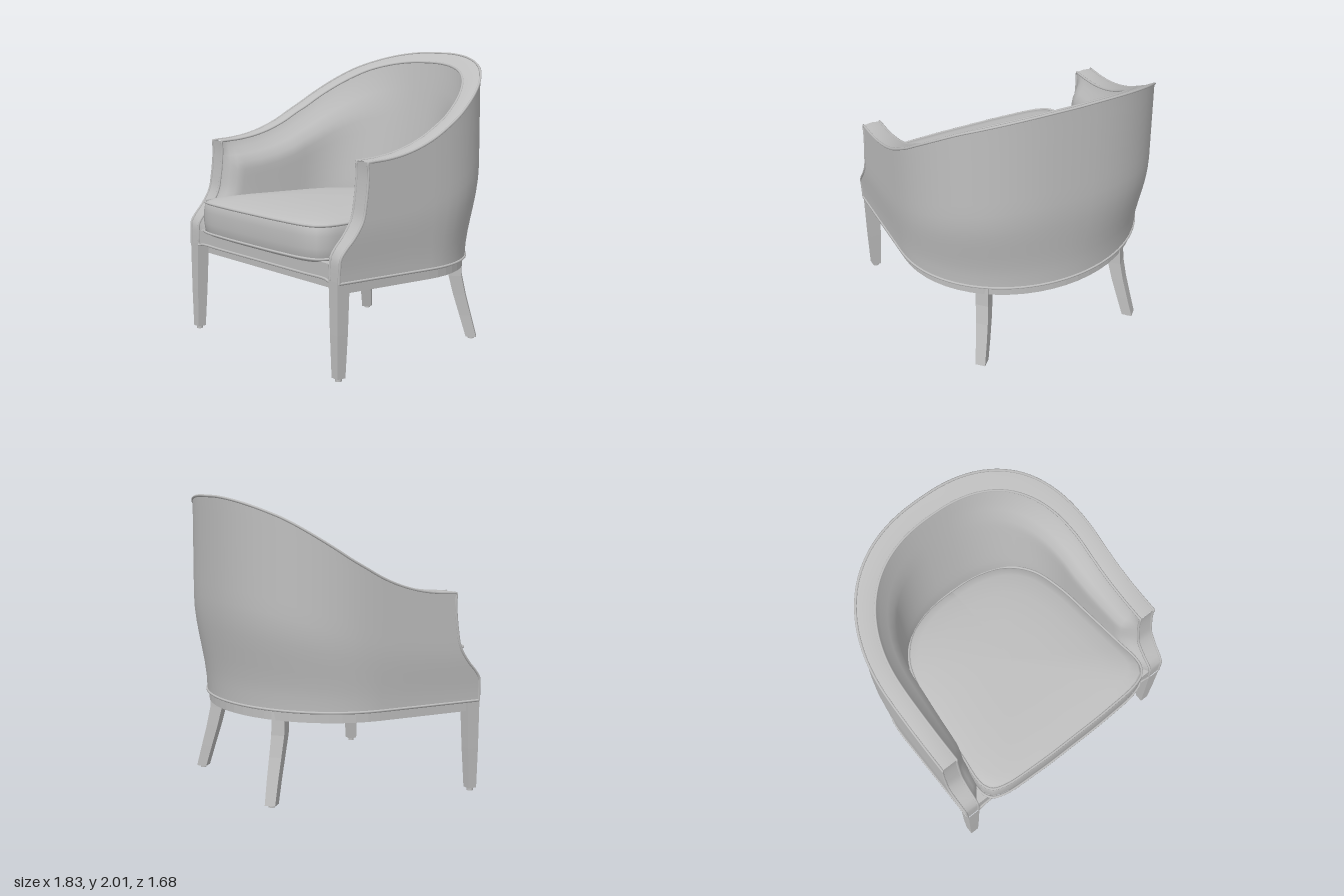
import * as THREE from 'three';

const SEAT_Y = 0.63;   // underside of the upholstered shell
const ARC = 28;        // segments round the back
const STRAIGHT = [0, 0.04, 0.09, 0.16, 0.26, 0.5, 0.75]; // stations along each arm
const ROWS = 14;

// Arm-front profile (height, z) and top-edge height by depth (z, height)
const FRONT = [[0.63, 0.76], [0.78, 0.755], [0.82, 0.735], [0.92, 0.64], [1.02, 0.58], [1.18, 0.555], [1.3, 0.545], [1.38, 0.55]];
const TOP = [[-0.83, 2.0], [-0.6, 1.87], [-0.4, 1.735], [-0.2, 1.6], [0, 1.49], [0.2, 1.41], [0.4, 1.38], [0.57, 1.37]];

function lookup(table, t) {
  if (t <= table[0][0]) return table[0][1];
  for (let i = 1; i < table.length; i++) {
    const [a, va] = table[i - 1], [b, vb] = table[i];
    if (t <= b) return va + (vb - va) * (t - a) / (b - a);
  }
  return table[table.length - 1][1];
}
const ease = (t) => THREE.MathUtils.smoothstep(t, 0, 1);

// Point on the rounded back of a U-shaped plan
function backPoint(a, b, n, angle) {
  const c = Math.cos(angle), s = Math.max(0, Math.sin(angle));
  return [Math.sign(c) * a * Math.abs(c) ** (2 / n), -b * s ** (2 / n)];
}

// Surface through equal-length rows of points
function grid(rows, flat = false) {
  const w = rows[0].length, index = [];
  for (let j = 0; j < rows.length - 1; j++) {
    for (let i = 0; i < w - 1; i++) {
      const p = j * w + i;
      index.push(p, p + 1, p + w, p + 1, p + w + 1, p + w);
    }
  }
  let g = new THREE.BufferGeometry().setFromPoints(rows.flat());
  g.setIndex(index);
  if (flat) g = g.toNonIndexed();
  g.computeVertexNormals();
  return g;
}

// Outer (or padded inner) shell point at station i and height fraction v
function shellPoint(i, v, inner) {
  const m = STRAIGHT.length, last = 2 * m + ARC;
  const side = i < m ? 1 : i > m + ARC ? -1 : 0;
  const s = side === 0 ? 1 : STRAIGHT[side > 0 ? i : last - i];
  const size = (f) => {
    if (inner) {
      const pad = ease(Math.min(1, (1 - f) / 0.25)), lean = Math.min(1, (1 - f) / 0.7);
      const q = ease(Math.min(1, s / 0.2));
      return [0.79 - pad * (0.085 * q + 0.045 * s), 0.72 - 0.16 * lean, 2.35];
    }
    const e = ease(Math.min(1, f / 0.5));
    return [0.885 + 0.023 * e, 0.77 + 0.063 * e, 2 + 0.35 * e];
  };
  const at = (f, y) => {
    const [a, b, n] = size(f);
    if (side) return [side * a, lookup(FRONT, y) * (1 - s)];
    return backPoint(a, b, n, Math.PI * (i - m) / ARC);
  };
  const topY = lookup(TOP, at(1, 1.38)[1]);
  const y = SEAT_Y + (topY - SEAT_Y) * v;
  const [x, z] = at(v, y);
  return new THREE.Vector3(x, y, z);
}

// Solid plate from a plan outline, hanging down from the given top height
function plate(points, top, depth, hole) {
  const shape = new THREE.Shape(points);
  if (hole) shape.holes.push(new THREE.Path(hole));
  return new THREE.ExtrudeGeometry(shape, { depth, bevelEnabled: false, curveSegments: 1 })
    .rotateX(Math.PI / 2).translate(0, top, 0);
}
function planU(a, b, n, front) {
  const pts = [new THREE.Vector2(a, front)];
  for (let k = 0; k <= ARC; k++) pts.push(new THREE.Vector2(...backPoint(a, b, n, Math.PI * k / ARC)));
  pts.push(new THREE.Vector2(-a, front));
  return pts;
}

// Square tapered leg through [x, y, z, half width] sections, bottom to top
function leg(sections, turn) {
  return grid(sections.map(([x, y, z, h]) => Array.from({ length: 5 }, (_, k) => {
    const t = turn + Math.PI / 4 + k * Math.PI / 2;
    return new THREE.Vector3(x + Math.cos(t) * h * Math.SQRT2, y, z - Math.sin(t) * h * Math.SQRT2);
  })), true);
}

export function createModel() {
  const chair = new THREE.Group();
  chair.name = 'armchair';
  const grey = new THREE.MeshStandardMaterial({ color: 0xbfbfbf });
  grey.name = 'grey';
  const add = (name, geometry) => {
    const mesh = new THREE.Mesh(geometry, grey);
    mesh.name = name;
    chair.add(mesh);
    return mesh;
  };
  const piping = (name, pts, closed = false, r = 0.009) =>
    add(name, new THREE.TubeGeometry(new THREE.CatmullRomCurve3(pts, closed), 260, r, 6, closed));

  // Wraparound shell: outside, padded inside, top rim and arm fronts
  const last = 2 * STRAIGHT.length + ARC;
  const wall = (inner) => Array.from({ length: ROWS + 1 }, (_, j) =>
    Array.from({ length: last + 1 }, (_, i) => shellPoint(i, j / ROWS, inner)));
  const outer = wall(false), inner = wall(true);
  const outTop = outer[ROWS], inTop = inner[ROWS];
  const crown = outTop.map((p, i) => p.clone().lerp(inTop[i], 0.5).add(new THREE.Vector3(0, 0.008, 0)));
  add('outerShell', grid(outer));
  add('innerPadding', grid([...inner].reverse()));
  add('topRim', grid([outTop, crown, inTop]));
  add('leftArmFront', grid(outer.map((row, j) => [inner[j][0], row[0]])));
  add('rightArmFront', grid(outer.map((row, j) => [row[last], inner[j][last]])));

  // Piping along the shell edges
  const edge = (rows) => [...rows.map((r) => r[0]), ...rows[ROWS].slice(1, last),
    ...[...rows].reverse().map((r) => r[last])];
  piping('outerPiping', edge(outer));
  const across = [-0.74, -0.5, 0, 0.5, 0.74].map((x) => new THREE.Vector3(x, 0.64, 0.755));
  piping('innerPiping', [...edge(inner), ...across], true);
  piping('bottomPiping', outer[0]);

  // Seat deck with front rail, hollow skirt and underside panel
  add('seatDeck', plate(planU(0.8, 0.69, 2, 0.75), 0.74, 0.11));
  add('skirt', plate(planU(0.865, 0.757, 2, 0.67), 0.64, 0.08, planU(0.81, 0.70, 2, 0.63)));
  add('undersidePanel', plate(planU(0.83, 0.72, 2, 0.65), 0.63, 0.02));

  // Seat cushion: rings of a rounded outline, seam at the back
  const half = [[-0.22, -0.545], [-0.42, -0.47], [-0.56, -0.32], [-0.63, -0.1], [-0.665, 0.2],
    [-0.695, 0.5], [-0.71, 0.66], [-0.685, 0.755], [-0.6, 0.8], [-0.3, 0.825]];
  const mirror = half.map(([x, z]) => [-x, z]).reverse();
  const outline = new THREE.CatmullRomCurve3([[0, -0.56], ...half, [0, 0.828], ...mirror]
    .map(([x, z]) => new THREE.Vector3(x, 0, z)), true).getSpacedPoints(72);
  const ring = (k, y) => outline.map((p) =>
    new THREE.Vector3(p.x * k, y, 0.13 + (p.z - 0.13) * k));
  const profile = [[0, 0.72], [0.92, 0.72], [0.98, 0.735], [1, 0.76], [1.01, 0.82], [1.01, 0.9],
    [1, 0.95], [0.98, 0.97], [0.9, 0.99], [0.7, 1.015], [0.4, 1.03], [0, 1.035]];
  add('seatCushion', grid(profile.map(([k, y]) => ring(k, y))));
  for (const [name, k, y] of [['cushionTopPiping', 1, 0.965], ['cushionBottomPiping', 1.01, 0.755]])
    piping(name, ring(k, y).slice(0, -1), true);

  // Straight front legs, splayed back legs and their foot pads
  for (const [side, s] of [['left', 1], ['right', -1]]) {
    add(side + 'FrontLeg', leg([[s * 0.84, 0.02, 0.73, 0], [s * 0.84, 0.02, 0.73, 0.031],
      [s * 0.838, 0.3, 0.725, 0.04], [s * 0.835, 0.64, 0.72, 0.047]], 0));
    add(side + 'BackLeg', leg([[s * 0.59, 0.015, -0.65, 0], [s * 0.59, 0.015, -0.65, 0.036],
      [s * 0.562, 0.17, -0.617, 0.039], [s * 0.537, 0.32, -0.583, 0.042],
      [s * 0.52, 0.46, -0.555, 0.045], [s * 0.513, 0.64, -0.545, 0.046]], Math.PI / 4));
    for (const [name, x, z] of [['FrontFoot', 0.84, 0.73], ['BackFoot', 0.59, -0.65]])
      add(side + name, new THREE.CylinderGeometry(0.022, 0.022, 0.024, 10)).position.set(s * x, 0.012, z);
  }
  return chair;
}
